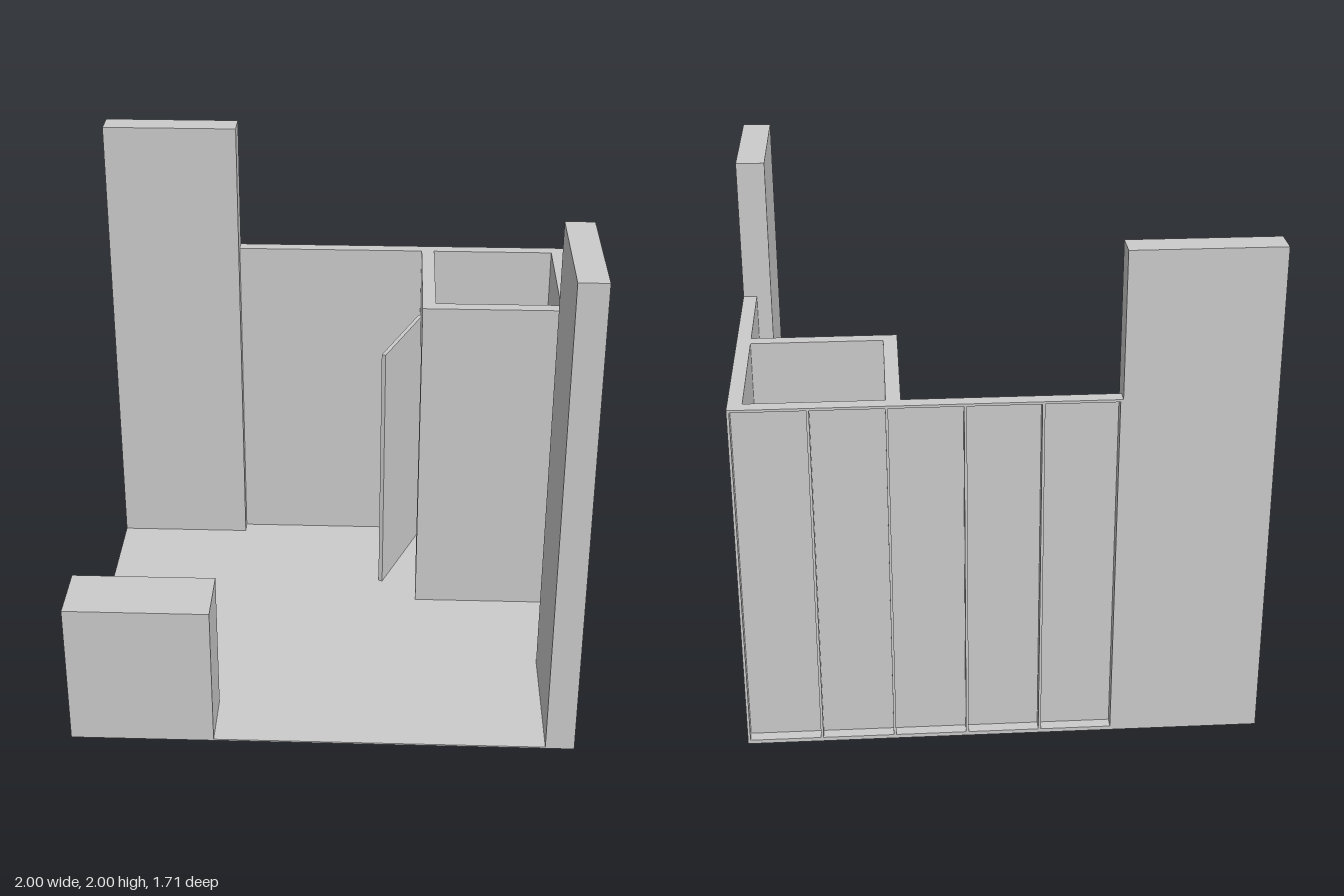
import * as THREE from 'three';

const material = new THREE.MeshStandardMaterial({ color: 0xcccccc });

export function createModel() {
  const model = new THREE.Group();
  model.name = 'exhibitionStand';

  // Box given by its two opposite corners
  const block = (name, x0, x1, y0, y1, z0, z1, parent = model) => {
    const mesh = new THREE.Mesh(new THREE.BoxGeometry(x1 - x0, y1 - y0, z1 - z0), material);
    mesh.position.set((x0 + x1) / 2, (y0 + y1) / 2, (z0 + z1) / 2);
    mesh.name = name;
    parent.add(mesh);
    return mesh;
  };

  const D = 0.857, H = 1.43, T = 0.055, FLOOR = 0.006;
  const SHEET = 0.008, BAR = 0.01;

  // Floor, tall pillars and counter
  block('floor', -1, 1, 0, FLOOR, -D, D);
  block('backPillar', -1, -0.43, FLOOR, 2, -D, -0.743);
  block('sidePillar', 0.886, 1, FLOOR, 2, 0.28, D);
  block('counter', -1, -0.43, FLOOR, 0.6, 0.6, D);

  // Back wall: sheet flush inside, thin frame standing proud outside
  const back = new THREE.Group();
  back.name = 'backWall';
  model.add(back);
  block('backSheet', -0.43, 1, FLOOR, H, -D + T - SHEET, -D + T, back);
  block('backTopRail', -0.43, 1, H - BAR, H, -D, -D + T - SHEET, back);
  block('backBottomRail', -0.43, 1, FLOOR, FLOOR + BAR, -D, -D + T - SHEET, back);
  for (let i = 0; i <= 5; i++) {
    const x = -0.43 + (i * (1.43 - BAR)) / 5;
    block('backPost', x, x + BAR, FLOOR + BAR, H - BAR, -D, -D + T - SHEET, back);
  }

  // Side wall, framed the same way
  const side = new THREE.Group();
  side.name = 'sideWall';
  model.add(side);
  const z0 = -D + T, z1 = 0.28;
  block('sideSheet', 1 - T, 1 - T + SHEET, FLOOR, H, z0, z1, side);
  block('sideTopRail', 1 - T + SHEET, 1, H - BAR, H, z0, z1, side);
  block('sideBottomRail', 1 - T + SHEET, 1, FLOOR, FLOOR + BAR, z0, z1, side);
  for (const z of [-0.522, -0.232, 0.021, 0.276]) {
    block('sidePost', 1 - T + SHEET, 1, FLOOR + BAR, H - BAR, z - 0.005, z + 0.004, side);
  }

  // Storage room: front wall, and inner wall with a doorway
  const room = new THREE.Group();
  room.name = 'storageRoom';
  model.add(room);
  const DOOR_H = 1.145, hinge = -0.745, jamb = -0.305;
  block('roomFrontWall', 0.375, 1 - T, FLOOR, H, -0.235, -0.18, room);
  block('doorHeader', 0.375, 0.43, DOOR_H, H, hinge, jamb, room);
  block('hingeJamb', 0.375, 0.43, FLOOR, H, z0, hinge, room);
  block('latchJamb', 0.375, 0.43, FLOOR, H, jamb, -0.235, room);

  // Door leaf swung open about its hinge
  const door = new THREE.Group();
  door.name = 'door';
  door.position.set(0.375, 0, hinge);
  door.rotation.y = -0.365;
  block('doorLeaf', -0.008, 0.01, FLOOR, DOOR_H, 0, 0.445, door);
  model.add(door);

  return model;
}
